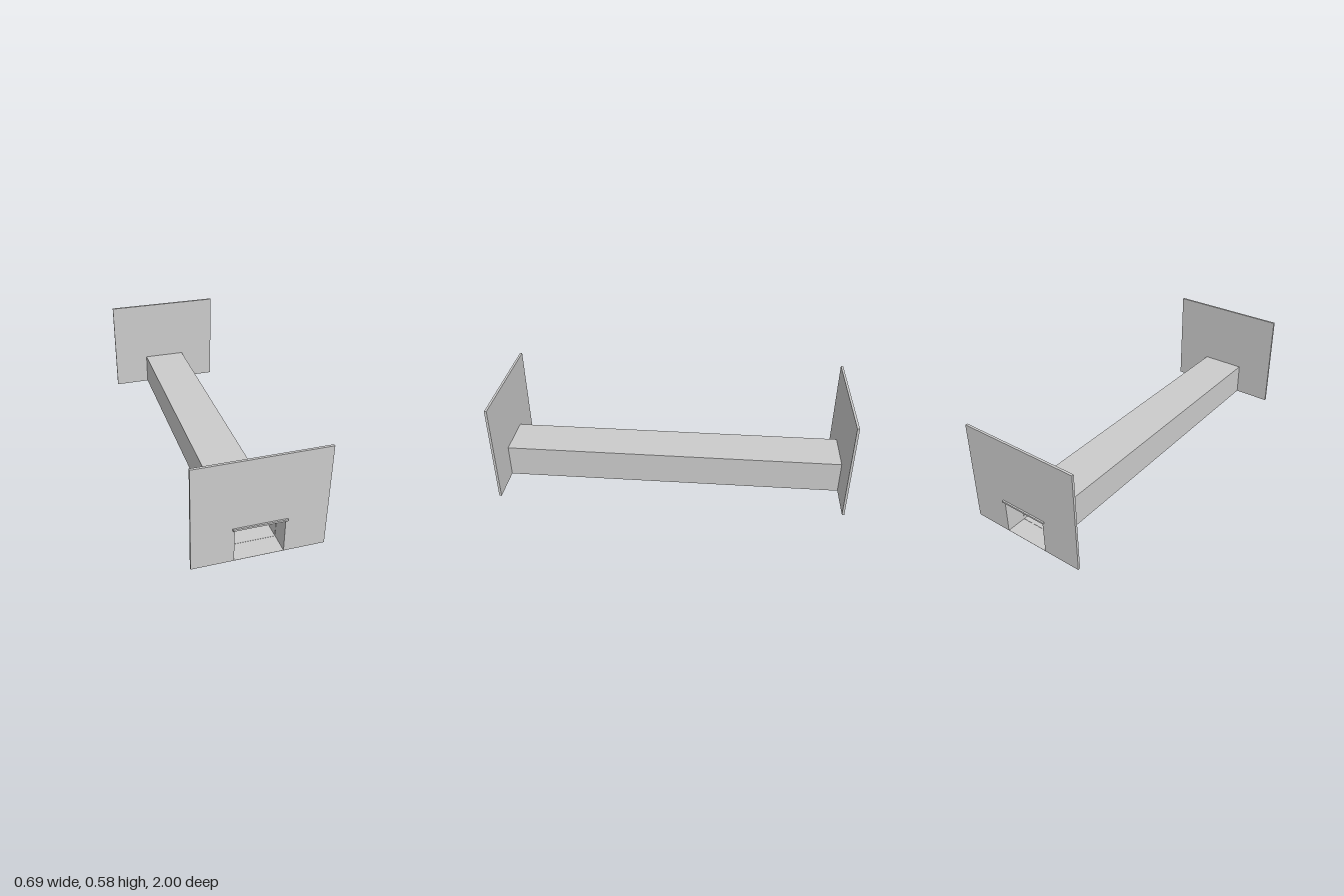
import * as THREE from 'three';

const material = new THREE.MeshStandardMaterial({ color: 0xcccccc, flatShading: true });

const W = 0.13, H = 0.19; // half width and height of the tunnel

function mesh(name, geometry, x = 0, y = 0, z = 0) {
  const m = new THREE.Mesh(geometry, material);
  m.name = name;
  m.position.set(x, y, z);
  return m;
}

function rect(path, x, y0, y1) {
  path.moveTo(-x, y0);
  path.lineTo(x, y0);
  path.lineTo(x, y1);
  path.lineTo(-x, y1);
  path.closePath();
  return path;
}

// Rectangular tube, centred along z
function tube(name, inset, thickness, length) {
  const shape = rect(new THREE.Shape(), W - inset, inset, H - inset);
  const t = inset + thickness;
  shape.holes.push(rect(new THREE.Path(), W - t, t, H - t));
  const g = new THREE.ExtrudeGeometry(shape, { depth: length, bevelEnabled: false });
  return mesh(name, g.translate(0, 0, -length / 2));
}

// End wall with a doorway, and a lintel bar on its outer face
function endWall(name) {
  const group = new THREE.Group();
  group.name = name;
  const half = 0.347, top = 0.577;
  const shape = new THREE.Shape([
    [-half, 0], [-W, 0], [-W, H], [W, H], [W, 0], [half, 0], [half, top], [-half, top],
  ].map(([x, y]) => new THREE.Vector2(x, y)));
  const panel = new THREE.ExtrudeGeometry(shape, { depth: 0.013, bevelEnabled: false });
  group.add(mesh('wallPanel', panel, 0, 0, 0.978));
  group.add(mesh('lintel', new THREE.BoxGeometry(0.28, 0.01, 0.009), 0, 0.195, 0.9955));
  return group;
}

export function createModel() {
  const model = new THREE.Group();
  model.name = 'tunnel';

  // Outer shell and a shorter inner lining
  model.add(tube('tunnelShell', 0, 0.001, 1.982));
  model.add(tube('tunnelLining', 0.001, 0.0015, 1.76));

  // Matching walls at both ends
  const front = endWall('frontWall');
  const back = endWall('backWall');
  back.rotation.y = Math.PI;
  model.add(front, back);

  return model;
}
